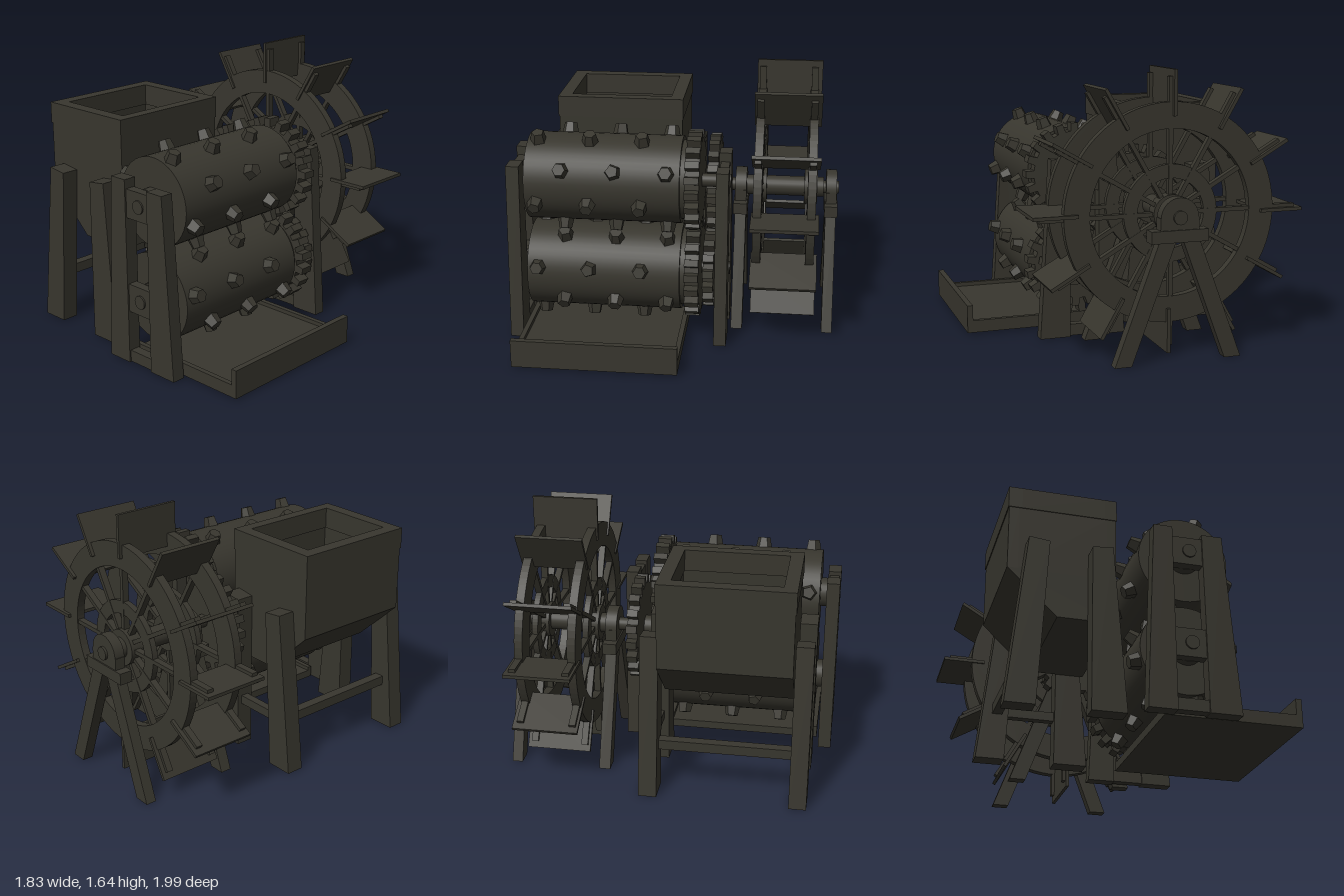
import * as THREE from 'three';

const wood = new THREE.MeshStandardMaterial({ color: 0x38362e });
wood.name = 'dark wood';

function add(parent, name, geometry) {
  const m = new THREE.Mesh(geometry, wood);
  m.name = name;
  parent.add(m);
  return m;
}

function group(parent, name) {
  const g = new THREE.Group();
  g.name = name;
  parent.add(g);
  return g;
}

// Box given by its limits on each axis
function box(parent, name, x0, x1, y0, y1, z0, z1) {
  const m = add(parent, name, new THREE.BoxGeometry(x1 - x0, y1 - y0, z1 - z0));
  m.position.set((x0 + x1) / 2, (y0 + y1) / 2, (z0 + z1) / 2);
  return m;
}

// Front outline extruded from z0 to z1
function prism(parent, name, pts, z0, z1) {
  const shape = new THREE.Shape(pts.map(p => new THREE.Vector2(p[0], p[1])));
  const g = new THREE.ExtrudeGeometry(shape, { depth: z1 - z0, bevelEnabled: false });
  g.translate(0, 0, z0);
  return add(parent, name, g);
}

// Cylinder lying along z
function rod(parent, name, x, y, r, z0, z1, sides = 24) {
  const g = new THREE.CylinderGeometry(r, r, z1 - z0, sides);
  g.rotateX(Math.PI / 2);
  const m = add(parent, name, g);
  m.position.set(x, y, (z0 + z1) / 2);
  return m;
}

function ring(parent, name, x, y, outer, inner, z0, z1) {
  const shape = new THREE.Shape().absarc(0, 0, outer, 0, Math.PI * 2, false);
  shape.holes.push(new THREE.Path().absarc(0, 0, inner, 0, Math.PI * 2, true));
  const g = new THREE.ExtrudeGeometry(shape, { depth: z1 - z0, bevelEnabled: false, curveSegments: 48 });
  const m = add(parent, name, g);
  m.position.set(x, y, z0);
  return m;
}

// Gear with blocky tapered teeth
function gear(parent, name, x, y, r, teeth, z0, z1, phase = 0) {
  const pts = [];
  for (let i = 0; i < teeth; i++) {
    const step = (Math.PI * 2) / teeth;
    for (const [f, d] of [[-0.3, 0.05], [-0.22, 0], [0.22, 0], [0.3, 0.05]]) {
      const a = (i + f + phase) * step;
      pts.push([(r - d) * Math.cos(a), (r - d) * Math.sin(a)]);
    }
  }
  prism(parent, name, pts, z0, z1).position.set(x, y, 0);
}

// Rectangular frame seen from above
function frame(parent, name, o, i, y0, y1) {
  box(parent, name, o[0], i[0], y0, y1, o[2], o[3]);
  box(parent, name, i[1], o[1], y0, y1, o[2], o[3]);
  box(parent, name, i[0], i[1], y0, y1, o[2], i[2]);
  box(parent, name, i[0], i[1], y0, y1, i[3], o[3]);
}

function buildHopper(root) {
  const g = group(root, 'hopper');
  frame(g, 'hopperRim', [-0.755, -0.115, -0.01, 0.78], [-0.675, -0.185, 0.07, 0.7], 1.24, 1.37);
  frame(g, 'hopperWall', [-0.75, -0.12, -0.005, 0.775], [-0.69, -0.17, 0.06, 0.71], 0.85, 1.24);
  prism(g, 'hopperBottom', [[-0.75, 0.85], [-0.46, 0.575], [-0.12, 0.575], [-0.12, 0.85]], -0.005, 0.775);
  for (const [z0, z1] of [[0.78, 0.885], [-0.12, -0.01]]) {
    prism(g, 'hopperLeg', [[-0.76, 0], [-0.59, 0], [-0.53, 0.985], [-0.65, 1.0]], z0, z1);
    prism(g, 'hopperLeg', [[-0.29, 0], [-0.09, 0], [-0.165, 1.0], [-0.285, 0.985]], z0, z1);
  }
  // Lower braces
  box(g, 'sideBrace', -0.67, -0.61, 0.28, 0.34, -0.03, 0.8);
  box(g, 'crossBrace', -0.64, -0.2, 0.28, 0.335, -0.09, -0.04);
}

function buildRoller(root, y, startAngle, shift) {
  const g = group(root, 'roller');
  const x = 0.25;
  rod(g, 'drum', x, y, 0.265, -0.05, 0.875, 48);
  rod(g, 'drumEndPlate', x, y, 0.24, -0.08, -0.05, 48);
  rod(g, 'drumCollar', x, y, 0.09, 0.875, 0.93);
  rod(g, 'rollerShaft', x, y, 0.04, -0.34, 0.995);
  gear(g, 'rollerGear', x, y, 0.305, 20, -0.165, -0.08, shift);
  // Staggered studs around the drum
  for (let i = 0; i < 8; i++) {
    const a = startAngle + (i * Math.PI) / 4;
    const offset = (i + (shift ? 1 : 0)) % 2 ? 0.03 : 0.185;
    for (let k = 0; k < 3; k++) {
      const geo = new THREE.CylinderGeometry(0.038, 0.055, 0.085, 5 + (i + k) % 2).toNonIndexed();
      geo.computeVertexNormals();
      const s = add(g, 'stud', geo);
      s.position.set(x + 0.28 * Math.cos(a), y + 0.28 * Math.sin(a), offset + k * 0.312);
      s.rotation.z = a - Math.PI / 2;
    }
  }
}

function buildRollerStand(root) {
  const g = group(root, 'rollerStand');
  for (const [z0, z1] of [[0.915, 0.995], [-0.335, -0.26]]) {
    prism(g, 'rollerPost', [[-0.01, 0.005], [0.155, 0.005], [0.15, 1.12], [0.04, 1.12]], z0, z1);
    prism(g, 'rollerPost', [[0.335, 0.005], [0.52, 0.005], [0.445, 1.09], [0.325, 1.09]], z0, z1);
    for (const y of [0.98, 0.41]) box(g, 'bearingBlock', 0.14, 0.34, y - 0.085, y + 0.085, z0 + 0.01, z1 - 0.01);
    box(g, 'standFoot', 0.14, 0.345, 0.01, 0.08, z0 + 0.01, z1 - 0.01);
  }
}

function buildTray(root) {
  const g = group(root, 'tray');
  box(g, 'trayFloor', 0.11, 0.88, 0.01, 0.06, -0.08, 0.9);
  box(g, 'trayEndWall', 0.875, 0.91, 0.01, 0.18, -0.08, 0.9);
  for (const [z0, z1] of [[-0.08, -0.05], [0.87, 0.9]]) box(g, 'traySide', 0.11, 0.88, 0.01, 0.085, z0, z1);
}

function buildWheel(root) {
  const g = group(root, 'waterWheel');
  const cx = -0.11, cy = 0.83;
  rod(g, 'axle', cx, cy, 0.062, -0.9, -0.42);
  rod(g, 'axleShaft', cx, cy, 0.04, -0.995, -0.03);
  rod(g, 'gearHub', cx, cy, 0.065, -0.25, -0.03);
  gear(g, 'driveGear', cx, cy, 0.32, 20, -0.25, -0.185);
  gear(g, 'pinionGear', 0.25, 0.41, 0.24, 15, -0.25, -0.185, 0.5);
  for (const z of [-0.505, -0.82]) {
    ring(g, 'wheelRim', cx, cy, 0.63, 0.48, z - 0.025, z + 0.025);
    ring(g, 'innerRing', cx, cy, 0.28, 0.2, z - 0.018, z + 0.018);
    rod(g, 'wheelHub', cx, cy, 0.11, z - 0.04, z + 0.04);
  }
  for (let i = 0; i < 12; i++) {
    const arm = group(g, 'paddleArm');
    arm.position.set(cx, cy, 0);
    arm.rotation.z = (i * Math.PI) / 6;
    for (const z of [-0.505, -0.82]) box(arm, 'spoke', 0.06, 0.77, -0.015, 0.01, z - 0.02, z + 0.02);
    box(arm, 'paddle', 0.55, 0.81, 0.005, 0.025, -0.865, -0.47);
  }
}

function buildWheelStand(root, z0, z1) {
  const g = group(root, 'wheelStand');
  const cx = -0.11;
  for (const s of [-1, 1]) {
    const pts = [[0.28, 0], [0.38, 0], [0.12, 0.7], [0.02, 0.7]].map(p => [cx + s * p[0], p[1]]);
    prism(g, 'wheelLeg', s < 0 ? pts.reverse() : pts, z0, z1);
  }
  box(g, 'bearingPlank', cx - 0.17, cx + 0.17, 0.69, 0.76, z0 - 0.008, z1 + 0.008);
  box(g, 'bearingBase', cx - 0.115, cx + 0.115, 0.76, 0.83, z0, z1);
  rod(g, 'bearing', cx, 0.83, 0.112, z0, z1, 32);
}

export function createModel() {
  const root = new THREE.Group();
  root.name = 'crushingMill';
  const deg = Math.PI / 180;
  buildHopper(root);
  buildRoller(root, 0.98, -20 * deg, 0);
  buildRoller(root, 0.41, -31 * deg, 0.5);
  buildRollerStand(root);
  buildTray(root);
  buildWheel(root);
  buildWheelStand(root, -0.42, -0.35);
  buildWheelStand(root, -0.98, -0.915);
  // Studs: the first row of the lower roller sits on the opposite stagger
  return root;
}
